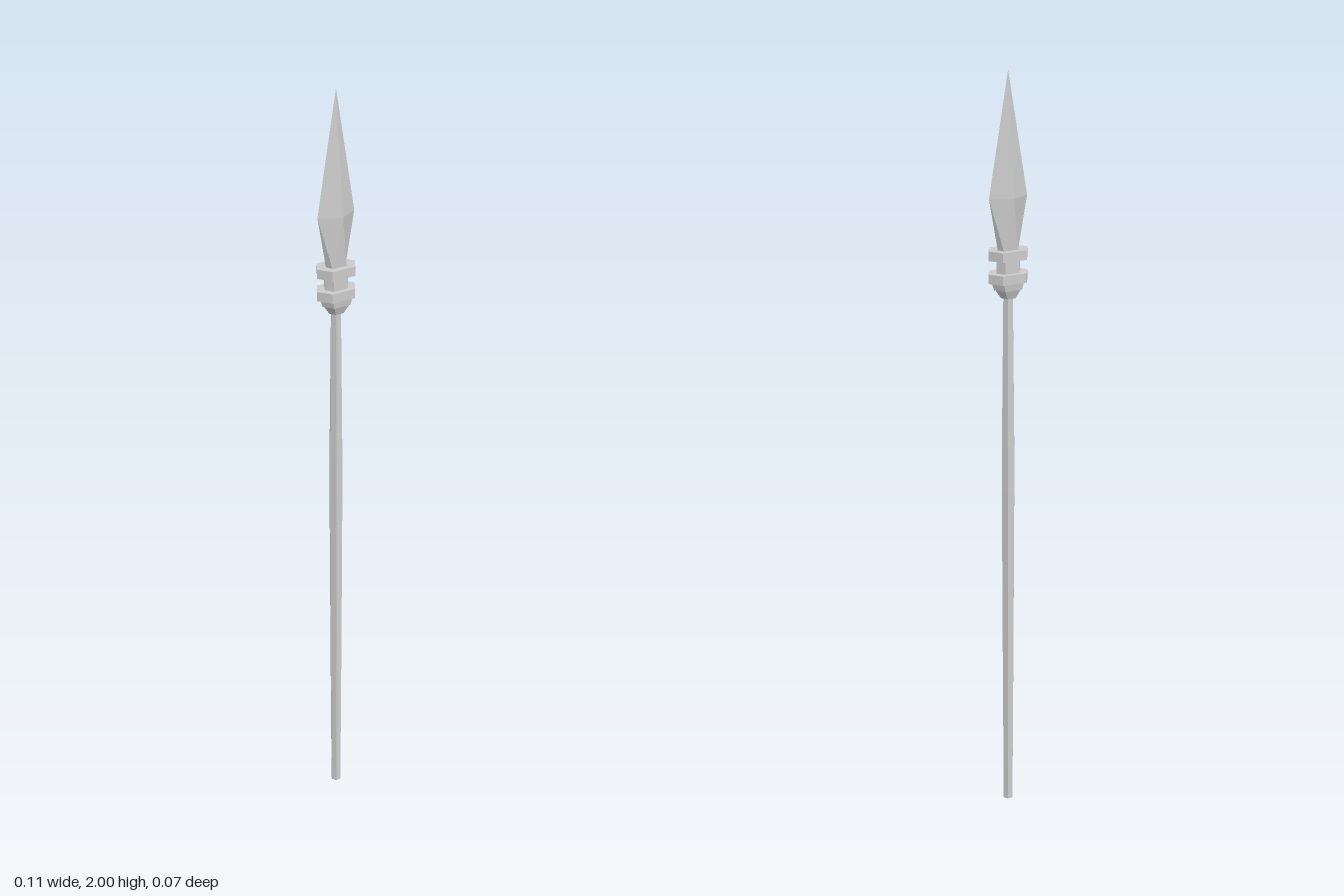
import * as THREE from 'three';

const material = new THREE.MeshStandardMaterial({ color: 0xcccccc, flatShading: true });

// Six-sided cross-section: points on the x axis at +-tip, flats at +-z ending at +-corner
const ring = ([y, tip, corner, z]) => [
  [tip, 0], [corner, z], [-corner, z], [-tip, 0], [-corner, -z], [corner, -z],
].map(([px, pz]) => new THREE.Vector3(px, y, pz));

// Skin a stack of cross-sections (bottom to top) and cap both ends
function loft(name, sections) {
  const rings = sections.map(ring);
  const positions = [];
  const face = (a, b, c) => {
    // collapsed faces at ridges and points are left out
    if (new THREE.Triangle(a, b, c).getArea() < 1e-9) return;
    for (const p of [a, b, c]) positions.push(p.x, p.y, p.z);
  };
  for (let r = 0; r < rings.length - 1; r++) {
    const lo = rings[r], hi = rings[r + 1];
    for (let i = 0; i < 6; i++) {
      const j = (i + 1) % 6;
      face(lo[i], hi[i], hi[j]);
      face(lo[i], hi[j], lo[j]);
    }
  }
  const bottom = rings[0], top = rings[rings.length - 1];
  for (let i = 1; i < 5; i++) {
    face(bottom[0], bottom[i], bottom[i + 1]);
    face(top[0], top[i + 1], top[i]);
  }
  const geometry = new THREE.BufferGeometry();
  geometry.setAttribute('position', new THREE.Float32BufferAttribute(positions, 3));
  geometry.computeVertexNormals();
  const mesh = new THREE.Mesh(geometry, material);
  mesh.name = name;
  return mesh;
}

export function createModel() {
  const spear = new THREE.Group();
  spear.name = 'spear';

  // Shaft, slightly swollen around the middle
  const shaft = [[0, 0.014], [0.45, 0.0165], [0.92, 0.0185], [1.03, 0.0185], [1.33, 0.015], [1.46, 0.0135]];
  spear.add(loft('shaft', shaft.map(([y, r]) => [y, r, r / 2, r * 0.88])));

  // Socket: stepped taper under the lower collar, then the neck
  spear.add(loft('socketTaper', [
    [1.443, 0.02, 0.011, 0.017],
    [1.466, 0.036, 0.022, 0.026],
    [1.466, 0.040, 0.024, 0.028],
    [1.487, 0.046, 0.028, 0.031],
  ]));
  spear.add(loft('neck', [[1.5, 0.033, 0.02, 0.022], [1.545, 0.033, 0.02, 0.022]]));

  // Two flat hexagonal collars
  for (const [name, y] of [['lowerCollar', 1.484], ['upperCollar', 1.542]]) {
    spear.add(loft(name, [[y, 0.055, 0.033, 0.035], [y + 0.024, 0.055, 0.033, 0.035]]));
  }

  // Blade: hexagonal root whose flats narrow into a single central ridge
  spear.add(loft('blade', [
    [1.56, 0.028, 0.02, 0.018],
    [1.695, 0.053, 0, 0.03],
    [2, 0, 0, 0],
  ]));

  return spear;
}
